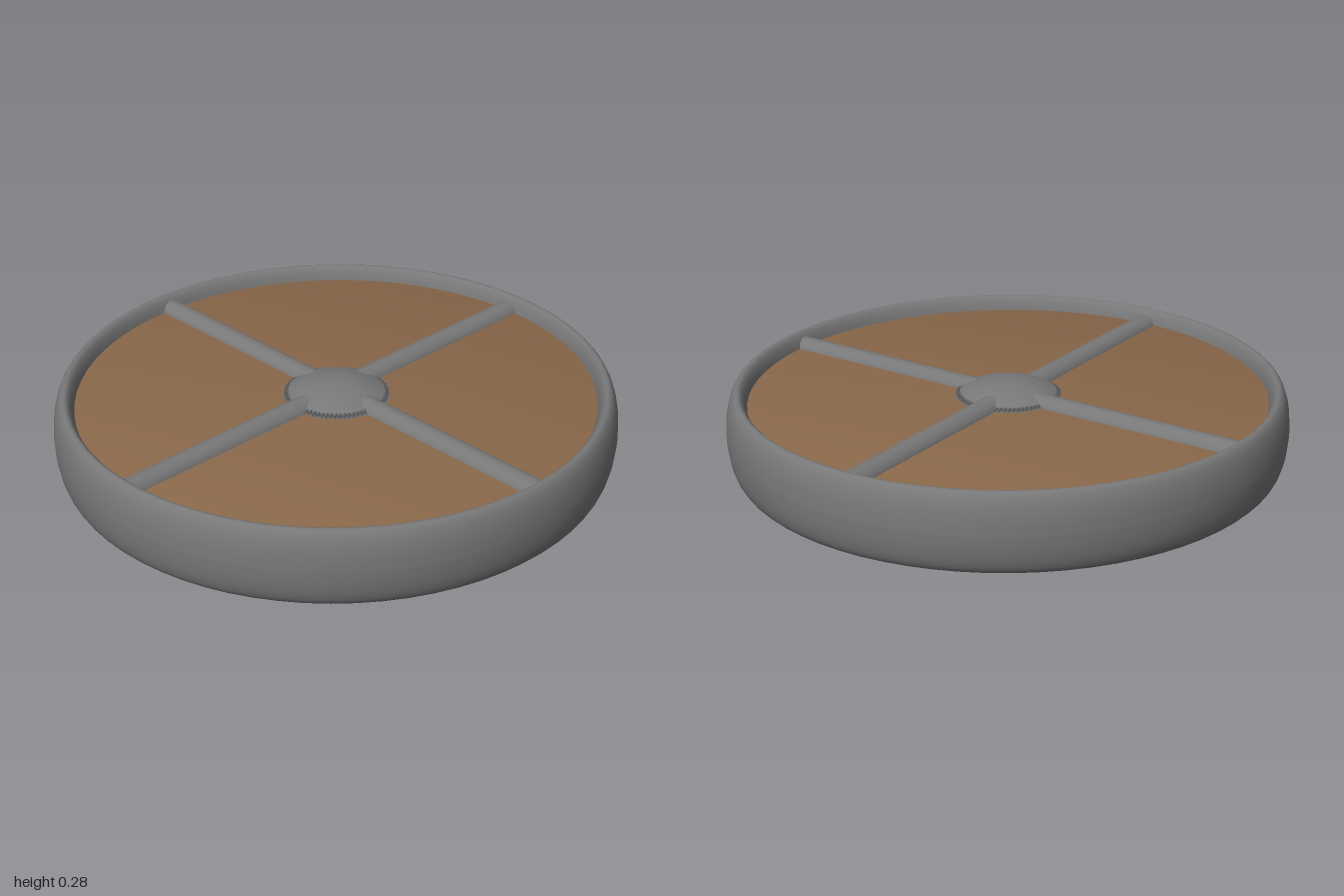
import * as THREE from 'three';

const SEGMENTS = 72;

function lathe(points) {
  return new THREE.LatheGeometry(points.map(([r, y]) => new THREE.Vector2(r, y)), SEGMENTS);
}

export function createModel() {
  const group = new THREE.Group();
  const iron = new THREE.MeshStandardMaterial({ color: 0x787878 });
  iron.name = 'iron grey';
  const wood = new THREE.MeshStandardMaterial({ color: 0x8a684a });
  wood.name = 'wood brown';

  function add(name, geometry, material) {
    const mesh = new THREE.Mesh(geometry, material);
    mesh.name = name;
    group.add(mesh);
    return mesh;
  }

  // Rim: a ring with a tall oval section, very slightly narrower across x
  const rimProfile = [];
  for (let i = 0; i <= 32; i++) {
    const a = (i / 32) * Math.PI * 2;
    rimProfile.push([0.957 + 0.043 * Math.cos(a), 0.14 + 0.14 * Math.sin(a)]);
  }
  add('rim', lathe(rimProfile), iron).scale.x = 0.985;

  // Board: a solid round slab with softly blended normals
  const board = lathe([[0, 0.03], [0.935, 0.03], [0.935, 0.228], [0, 0.228]]);
  add('board', board, wood).scale.x = 0.985;

  // Boss: a shallow closed dome in the middle
  const bossRadius = 0.19, bossHeight = 0.054, bossBase = 0.229;
  const bossProfile = [[0, bossBase]];
  const sphere = (bossRadius ** 2 + bossHeight ** 2) / (2 * bossHeight);
  const edge = Math.asin(bossRadius / sphere);
  for (let i = 0; i <= 8; i++) {
    const a = edge * (1 - i / 8);
    const y = bossBase + bossHeight - sphere * (1 - Math.cos(a));
    bossProfile.push([i === 8 ? 0 : sphere * Math.sin(a), y]);
  }
  add('boss', lathe(bossProfile), iron);

  // Four round bars from the boss to the rim, half sunk into the board
  const names = ['frontBar', 'leftBar', 'backBar', 'rightBar'];
  const bars = new THREE.Group();
  bars.name = 'bars';
  bars.position.set(-0.015, 0.213, -0.013);
  names.forEach((name, i) => {
    const geometry = new THREE.CylinderGeometry(0.048, 0.048, 0.85, 24);
    geometry.rotateX(Math.PI / 2).translate(0, 0, 0.515);
    const bar = new THREE.Mesh(geometry, iron);
    bar.name = name;
    bar.rotation.y = (i * Math.PI) / 2;
    bars.add(bar);
  });
  group.add(bars);

  return group;
}
